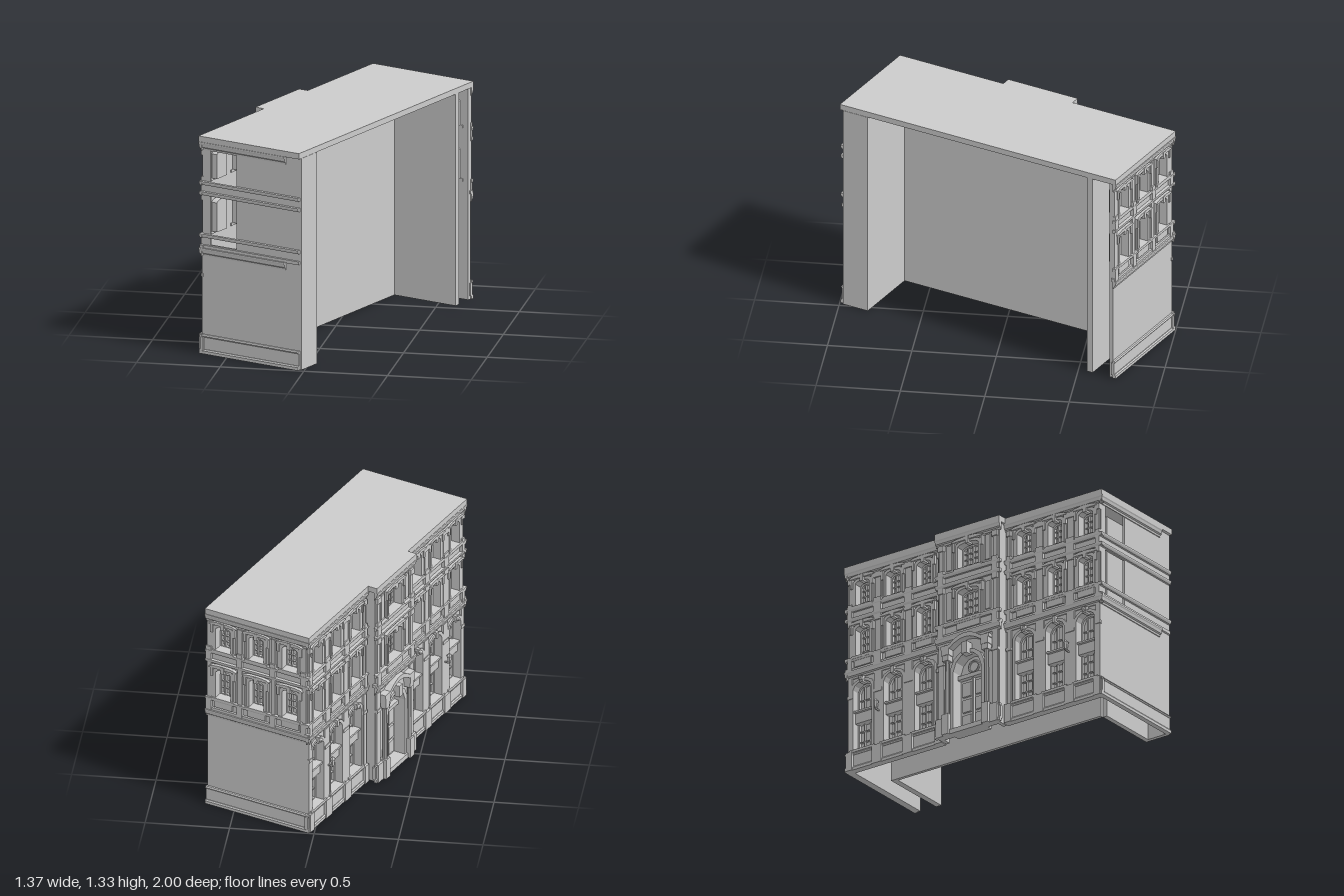
import * as THREE from 'three';

const mat = new THREE.MeshStandardMaterial({ color: 0xcccccc, side: THREE.DoubleSide, flatShading: true });
const TOP = 1.29;

function add(parent, name, geo, x = 0, y = 0, z = 0) {
  const m = new THREE.Mesh(geo, mat);
  m.name = name;
  m.position.set(x, y, z);
  parent.add(m);
  return m;
}
// box given by its limits
function block(parent, name, x0, x1, y0, y1, z0, z1) {
  return add(parent, name, new THREE.BoxGeometry(x1 - x0, y1 - y0, z1 - z0),
    (x0 + x1) / 2, (y0 + y1) / 2, (z0 + z1) / 2);
}
// rectangle with a curved head; y1 is the crown of the curve
function arch(P, x, y0, y1, w, rise) {
  const p = new P(), s = y1 - rise;
  p.moveTo(x - w / 2, y0);
  p.lineTo(x + w / 2, y0);
  p.lineTo(x + w / 2, s);
  if (rise > 0) {
    const k = rise * 4 / 3;
    p.bezierCurveTo(x + w / 2 - 0.1 * w, s + k, x - w / 2 + 0.1 * w, s + k, x - w / 2, s);
  } else p.lineTo(x - w / 2, s);
  p.closePath();
  return p;
}
function extrude(shape, depth) {
  return new THREE.ExtrudeGeometry(shape, { depth, bevelEnabled: false, curveSegments: 6 });
}
// wall panel with openings [x, y0, y1, w, rise], outer face at z = 0
function wall(parent, x0, x1, holes, t = 0.025) {
  const s = new THREE.Shape();
  s.moveTo(x0, 0).lineTo(x1, 0).lineTo(x1, TOP).lineTo(x0, TOP).closePath();
  s.holes = holes.map(h => arch(THREE.Path, ...h));
  add(parent, 'wall', extrude(s, t), 0, 0, -t);
}
// horizontal moulding from profile points [out, y]
function moulding(parent, name, x0, x1, y, pts) {
  const s = new THREE.Shape(pts.map(p => new THREE.Vector2(p[0], p[1])));
  const g = extrude(s, x1 - x0);
  g.rotateY(-Math.PI / 2);
  add(parent, name, g, x1, y, 0);
}
function ring(parent, name, [x, y0, y1, w, rise], t, z0, z1) {
  const s = arch(THREE.Shape, x, y0 - t / 2, y1 + t, w + 2 * t, rise);
  s.holes.push(arch(THREE.Path, x, y0, y1, w, rise));
  add(parent, name, extrude(s, z1 - z0), 0, 0, z0);
}
// recessed window with jambs, glazing bars, surround and sill
function window_(parent, h, { cols = 2, rows = 4, split = 0 } = {}) {
  const g = new THREE.Group(), [x, y0, y1, w, rise] = h;
  g.name = 'window';
  parent.add(g);
  ring(g, 'surround', h, 0.016, -0.002, 0.012);
  ring(g, 'jamb', h, 0.004, -0.062, -0.02);
  add(g, 'pane', extrude(arch(THREE.Shape, ...h), 0.004), 0, 0, -0.062);
  ring(g, 'sash', [x, y0 + 0.008, y1 - 0.01, w - 0.02, rise * 0.9], 0.01, -0.058, -0.04);
  for (let i = 1; i < cols; i++) {
    const bx = x - w / 2 + w * i / cols;
    block(g, 'glazingBar', bx - 0.004, bx + 0.004, y0, y1 - rise * 0.3, -0.058, -0.042);
  }
  for (let i = 1; i < rows; i++) {
    const by = y0 + (y1 - rise - y0) * i / (rows - 0.2);
    block(g, 'glazingBar', x - w / 2, x + w / 2, by - 0.003, by + 0.003, -0.058, -0.045);
  }
  if (split) {
    block(g, 'spandrel', x - w / 2, x + w / 2, split - 0.035, split + 0.035, -0.06, -0.012);
    block(g, 'spandrelLedge', x - w / 2, x + w / 2, split + 0.03, split + 0.042, -0.06, 0.004);
  }
  block(g, 'sill', x - w / 2 - 0.024, x + w / 2 + 0.024, y0 - 0.016, y0, -0.03, 0.02);
  block(g, 'keystone', x - 0.012, x + 0.012, y1 - 0.012, y1 + 0.03, -0.02, 0.024);
  return g;
}
const upperHoles = (x, w) => [[x, 0.735, 0.925, w, 0.018], [x, 1.06, 1.22, w, 0.018]];
// two upper windows with aprons, brackets and hoods
function upperBay(parent, x, w, cols) {
  for (const h of upperHoles(x, w)) {
    window_(parent, h, { cols, rows: 4 });
    const [, y0, y1] = h, e = w / 2 + 0.026;
    for (const s of [-1, 1]) {
      block(parent, 'hoodBracket', x + s * e - 0.008, x + s * e + 0.008, y1 - 0.045, y1 + 0.012, 0, 0.018);
      block(parent, 'windowPilaster', x + s * e - 0.007, x + s * e + 0.007, y0, y1 - 0.045, 0, 0.009);
    }
    add(parent, 'hood', extrude(arch(THREE.Shape, x, y1 + 0.012, y1 + 0.034, w + 0.08, 0.014), 0.022));
    if (y0 < 1) block(parent, 'apron', x - w / 2 - 0.01, x + w / 2 + 0.01, 0.668, 0.71, 0, 0.01);
  }
}
// horizontal courses shared by every side
const CROWN = [[0, 0], [0.006, 0], [0.008, 0.012], [0.016, 0.018], [0.02, 0.035], [0.024, 0.042], [0.024, 0.05], [0, 0.05]];
const STRING = [[0, 0], [0.012, 0], [0.016, 0.006], [0.02, 0.014], [0.02, 0.022], [0, 0.022]];
function courses(parent, x0, x1, xCrown = x0) {
  moulding(parent, 'plinthBase', x0, x1, 0, [[0, 0], [0.02, 0], [0.02, 0.018], [0.014, 0.026], [0, 0.026]]);
  block(parent, 'plinth', x0, x1, 0.02, 0.1, -0.01, 0.01);
  moulding(parent, 'plinthCap', x0, x1, 0.1, [[0, 0], [0.012, 0], [0.018, 0.008], [0.012, 0.015], [0, 0.015]]);
  moulding(parent, 'groundCornice', xCrown, x1, 0.595, CROWN);
  block(parent, 'balconyCourse', x0, x1, 0.642, 0.662, -0.01, 0.014);
  moulding(parent, 'sillCourse', x0, x1, 0.708, STRING);
  moulding(parent, 'middleCornice', x0, x1, 0.965, STRING);
  moulding(parent, 'upperSillCourse', x0, x1, 1.028, STRING);
  moulding(parent, 'roofCornice', xCrown, x1, TOP - 0.05, CROWN);
}
// pier strip with plinth block and stepped caps
function pier(parent, x, w) {
  block(parent, 'pierPlinth', x - w / 2 - 0.008, x + w / 2 + 0.008, 0, 0.118, 0, 0.026);
  block(parent, 'pier', x - w / 2, x + w / 2, 0.118, 0.595, 0, 0.011);
  block(parent, 'pierCap', x - w / 2 - 0.005, x + w / 2 + 0.005, 0.465, 0.485, 0, 0.016);
  for (const [a, b] of [[0.64, 0.965], [0.985, 1.24]]) {
    block(parent, 'pilaster', x - w / 2 + 0.006, x + w / 2 - 0.006, a, b, 0, 0.01);
    block(parent, 'pilasterBase', x - w / 2, x + w / 2, a, a + 0.09, 0, 0.018);
    block(parent, 'pilasterCap', x - w / 2, x + w / 2, b - 0.035, b, 0, 0.018);
  }
}
function side(parent, name, x, y, z, ry = 0) {
  const g = new THREE.Group();
  g.name = name;
  g.position.set(x, y, z);
  g.rotation.y = ry;
  parent.add(g);
  return g;
}

export function createModel() {
  const model = new THREE.Group(), b = new THREE.Group();
  b.name = 'building';
  b.rotation.y = Math.atan2(-0.925, -0.38);
  model.add(b);

  // roof slab with projecting centre
  const r = new THREE.Shape([[-0.935, -0.352], [0.935, -0.352], [0.935, 0.352], [0.235, 0.352], [0.235, 0.412],
    [-0.235, 0.412], [-0.235, 0.352], [-0.935, 0.352]].map(p => new THREE.Vector2(p[0], -p[1])));
  const roofGeo = extrude(r, 0.035);
  roofGeo.rotateX(-Math.PI / 2);
  add(b, 'roof', roofGeo, 0, TOP, 0);

  // open room at the back
  block(b, 'roomWall', -0.78, 0.745, 0, TOP, 0.077, 0.097);
  block(b, 'roomEndWall', -0.78, -0.743, 0, TOP, -0.352, 0.077);
  block(b, 'roomEndWall', 0.745, 0.775, 0, TOP, -0.352, 0.077);
  block(b, 'backPier', 0.745, 0.912, 0, TOP, -0.354, -0.33);

  // the two wings of the long front, three bays each
  for (const s of [-1, 1]) {
    const wing = side(b, 'wing', 0, 0, 0.33);
    const bays = [0.365, 0.588, 0.811].map(x => x * s);
    const ground = bays.map(x => [x, 0.13, 0.565, 0.135, 0.045]);
    const x0 = s > 0 ? 0.225 : -0.935, x1 = s > 0 ? 0.935 : -0.225;
    wall(wing, s > 0 ? 0.225 : -0.915, s > 0 ? 0.915 : -0.225,
      [...ground, ...bays.flatMap(x => upperHoles(x, 0.1))]);
    courses(wing, x0, x1);
    ground.forEach(h => window_(wing, h, { cols: 3, rows: 6, split: 0.345 }));
    bays.forEach(x => upperBay(wing, x, 0.1, 3));
    [0.2535, 0.4765, 0.6995, 0.9].forEach((x, i) => pier(wing, x * s, i % 3 ? 0.055 : 0.03));
    // carved bosses over the outer and inner arches
    for (const x of [bays[0], bays[2]])
      add(wing, 'boss', new THREE.SphereGeometry(0.014, 8, 6), x, 0.575, 0.032);
    // wall lantern
    const lx = 0.69 * s;
    block(wing, 'lanternArm', lx - 0.004, lx + 0.004, 0.335, 0.343, 0, 0.044);
    add(wing, 'lantern', new THREE.CylinderGeometry(0.016, 0.01, 0.045, 6), lx, 0.366, 0.042);
    add(wing, 'lanternCap', new THREE.ConeGeometry(0.018, 0.02, 6), lx, 0.398, 0.042);
  }

  // projecting centre with the portal
  const c = side(b, 'centreBay', 0, 0, 0.39);
  const door = [0, 0.03, 0.5, 0.2, 0.1];
  wall(c, -0.22, 0.22, [door, ...upperHoles(0, 0.15)]);
  for (const s of [-1, 1]) {
    block(c, 'centreReturn', s * 0.2075 - 0.0125, s * 0.2075 + 0.0125, 0, TOP, -0.075, -0.02);
    courses(c, s > 0 ? 0.135 : -0.235, s > 0 ? 0.235 : -0.135);
    pier(c, s * 0.195, 0.04);
    // portal columns
    block(c, 'columnPedestal', s * 0.143 - 0.024, s * 0.143 + 0.024, 0, 0.13, 0, 0.045);
    add(c, 'column', new THREE.CylinderGeometry(0.013, 0.016, 0.35, 10), s * 0.143, 0.305, 0.022);
    block(c, 'columnCapital', s * 0.143 - 0.022, s * 0.143 + 0.022, 0.475, 0.51, 0, 0.042);
    block(c, 'columnEntablature', s * 0.143 - 0.026, s * 0.143 + 0.026, 0.51, 0.55, 0, 0.045);
    // door leaves with panels
    for (const [a, d] of [[0.05, 0.13], [0.15, 0.23], [0.25, 0.34]])
      block(c, 'doorPanel', s * 0.047 - 0.03, s * 0.047 + 0.03, a, d, -0.056, -0.042);
    // side panels beside the upper windows
    for (const [a, d] of [[0.75, 0.93], [1.07, 1.23]])
      block(c, 'sidePanel', s * 0.141 - 0.018, s * 0.141 + 0.018, a, d, 0, 0.008);
  }
  for (const [y, p] of [[0.595, CROWN], [0.708, STRING], [0.965, STRING], [1.028, STRING], [TOP - 0.05, CROWN]])
    moulding(c, 'centreCourse', -0.135, 0.135, y, p);
  block(c, 'balconyCourse', -0.135, 0.135, 0.642, 0.662, -0.01, 0.014);
  upperBay(c, 0, 0.15, 4);
  ring(c, 'doorJamb', door, 0.006, -0.07, -0.02);
  ring(c, 'doorArch', door, 0.022, -0.002, 0.02);
  add(c, 'door', extrude(arch(THREE.Shape, ...door), 0.01), 0, 0, -0.065);
  block(c, 'doorTransom', -0.1, 0.1, 0.36, 0.385, -0.06, -0.025);
  block(c, 'doorMeeting', -0.006, 0.006, 0.03, 0.36, -0.06, -0.038);
  add(c, 'fanlightRing', new THREE.TorusGeometry(0.036, 0.007, 6, 16), 0, 0.435, -0.05);
  block(c, 'doorStep', -0.12, 0.12, 0, 0.03, -0.06, 0.03);
  block(c, 'portalKeystone', -0.02, 0.02, 0.485, 0.56, 0, 0.05);
  const hood = new THREE.Shape();
  hood.moveTo(-0.175, 0.55).lineTo(-0.11, 0.55).quadraticCurveTo(0, 0.635, 0.11, 0.55).lineTo(0.175, 0.55)
    .lineTo(0.175, 0.572).lineTo(0.115, 0.572).quadraticCurveTo(0, 0.67, -0.115, 0.572).lineTo(-0.175, 0.572).closePath();
  add(c, 'portalHood', extrude(hood, 0.045));

  // short end with three bays above a plain ground floor
  const endA = side(b, 'windowedEnd', -0.915, 0, 0, -Math.PI / 2);
  const endBays = [-0.235, -0.01, 0.215];
  wall(endA, -0.345, 0.33, endBays.flatMap(x => upperHoles(x, 0.1)));
  courses(endA, -0.352, 0.35);
  endBays.forEach(x => upperBay(endA, x, 0.1, 3));
  for (const x of [-0.33, -0.1225, 0.1025, 0.312])
    for (const [a, d] of [[0.64, 0.965], [0.985, 1.24]]) {
      block(endA, 'pilaster', x - 0.014, x + 0.014, a, d, 0, 0.01);
      block(endA, 'pilasterBase', x - 0.018, x + 0.018, a, a + 0.09, 0, 0.018);
    }

  // plain short end with two openings onto the hollow behind the front
  const endD = side(b, 'plainEnd', 0.915, 0, 0, Math.PI / 2);
  wall(endD, -0.33, 0.352, [[-0.19, 0.665, 0.962, 0.185, 0], [-0.19, 1.03, 1.272, 0.185, 0]], 0.012);
  const ends = side(endD, 'plainEndCourses', 0, 0, 0);
  ends.scale.x = -1;
  courses(ends, -0.345, 0.35, -0.25);
  return model;
}
